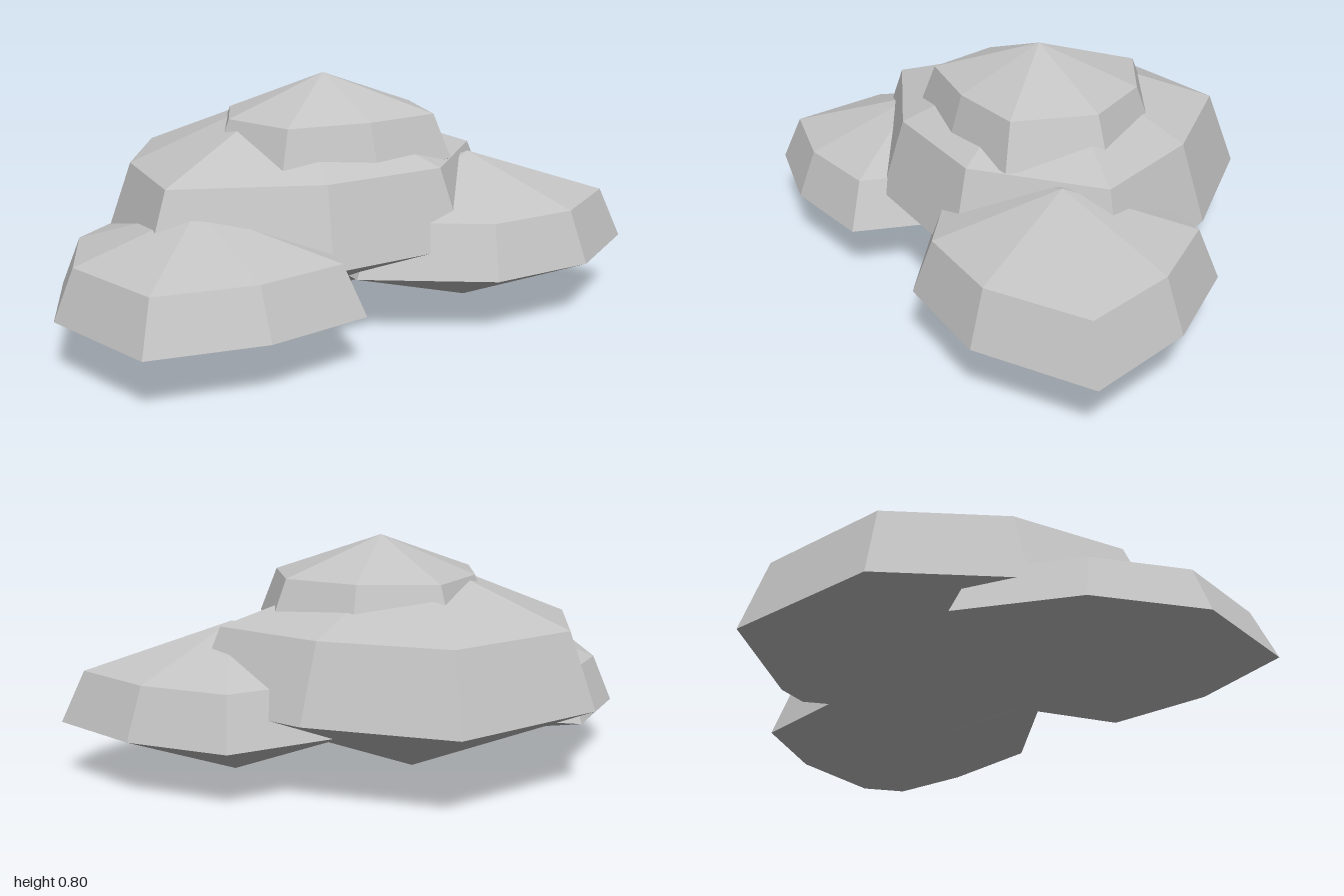
import * as THREE from 'three';

// Each boulder: bottom point, wide girdle, narrower shoulder ring, top point.
// The girdle lists [x, z] corners running from +x towards +z.
const BOULDERS = [
  {
    name: 'mainBoulder', centre: [-0.06, -0.05], heights: [0.005, 0.27, 0.52, 0.74],
    girdle: [[0.665, 0.14], [0.26, 0.485], [-0.24, 0.495], [-0.75, 0.26],
      [-0.67, -0.21], [-0.40, -0.60], [0.16, -0.68], [0.49, -0.30]],
  },
  {
    name: 'topBoulder', centre: [0.015, 0.03], heights: [0.40, 0.525, 0.67, 0.795],
    girdle: [[0.425, 0.03], [0.32, 0.33], [0.01, 0.36], [-0.31, 0.31],
      [-0.39, 0.02], [-0.25, -0.23], [0.015, -0.40], [0.275, -0.24]],
  },
  {
    name: 'leftBoulder', centre: [0.475, 0.225], heights: [0.005, 0.19, 0.36, 0.515],
    girdle: [[1.0, 0.435], [0.65, 0.635], [0.28, 0.635], [-0.08, 0.38],
      [-0.06, 0.04], [0.28, -0.21], [0.69, -0.21], [0.90, 0.08]],
  },
  {
    name: 'rightBoulder', centre: [-0.555, 0.225], heights: [0.0, 0.165, 0.32, 0.45],
    girdle: [[-0.09, 0.26], [-0.21, 0.625], [-0.56, 0.675], [-0.915, 0.60],
      [-1.0, 0.18], [-0.84, -0.16], [-0.52, -0.39], [-0.22, -0.12]],
  },
];
const SHOULDER = 0.86; // shoulder ring size relative to the girdle

function boulderGeometry({ centre: [cx, cz], heights: [y0, y1, y2, y3], girdle }) {
  const low = girdle.map(([x, z]) => [x, y1, z]);
  const high = girdle.map(([x, z]) => [cx + (x - cx) * SHOULDER, y2, cz + (z - cz) * SHOULDER]);
  const base = [cx, y0, cz];
  const peak = [cx, y3, cz];
  const points = [];
  low.forEach((a, i) => {
    const j = (i + 1) % low.length;
    const b = low[j], c = high[i], d = high[j];
    points.push(
      base, a, b, // underside
      a, c, d, a, d, b, // side band
      peak, d, c, // crown
    );
  });
  const geometry = new THREE.BufferGeometry();
  geometry.setAttribute('position', new THREE.Float32BufferAttribute(points.flat(), 3));
  geometry.computeVertexNormals(); // unshared corners give flat facets
  return geometry;
}

export function createModel() {
  const group = new THREE.Group();
  group.name = 'rockPile';
  const stone = new THREE.MeshStandardMaterial({ color: 0xc4c4c4, flatShading: true });
  stone.name = 'pale grey stone';
  for (const boulder of BOULDERS) {
    const mesh = new THREE.Mesh(boulderGeometry(boulder), stone);
    mesh.name = boulder.name;
    group.add(mesh);
  }
  return group;
}
